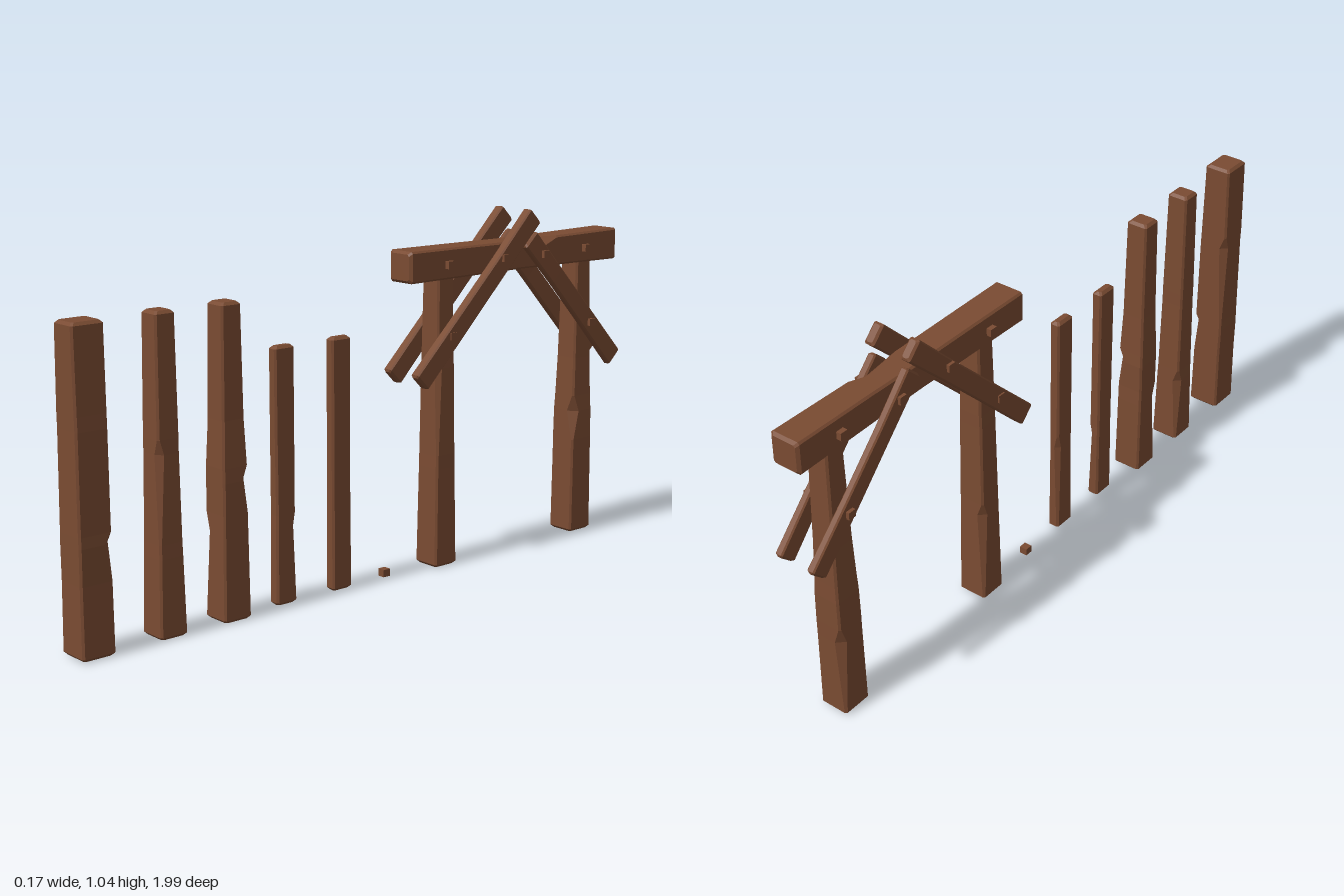
import * as THREE from 'three';

const wood = new THREE.MeshStandardMaterial({ color: 0x7a4b32, flatShading: true });
const CORNERS = [[1, -1], [-1, -1], [-1, 1], [1, 1]];

// Hewn timber standing along +y from chamfered square sections.
// Each section: [y, halfX, halfZ, shiftX, shiftZ, chippedCorner, chipSize]
function timber(name, sections, bevel = 0.008) {
  const first = sections[0], last = sections[sections.length - 1];
  const inset = (s, dy) => [s[0] + dy, s[1] - bevel, s[2] - bevel, s[3], s[4]];
  const rings = [
    inset(first, 0),
    [first[0] + bevel, ...first.slice(1)],
    ...sections.slice(1, -1),
    [last[0] - bevel, ...last.slice(1)],
    inset(last, 0),
  ];
  const pos = [], index = [];
  for (const [y, w, d, dx = 0, dz = 0, chip = -1, size = 0] of rings) {
    CORNERS.forEach(([sx, sz], k) => {
      const c = k === chip ? size : bevel * 0.7;
      const onX = [dx + sx * w, y, dz + sz * (d - c)];
      const onZ = [dx + sx * (w - c), y, dz + sz * d];
      pos.push(...(k % 2 ? [...onZ, ...onX] : [...onX, ...onZ]));
    });
  }
  for (let r = 0; r < rings.length - 1; r++) {
    for (let j = 0; j < 8; j++) {
      const a = r * 8 + j, b = r * 8 + (j + 1) % 8;
      index.push(a, b, b + 8, a, b + 8, a + 8);
    }
  }
  const top = (rings.length - 1) * 8;
  for (let j = 1; j < 7; j++) {
    index.push(0, j + 1, j, top, top + j, top + j + 1);
  }
  const geo = new THREE.BufferGeometry();
  geo.setAttribute('position', new THREE.Float32BufferAttribute(pos, 3));
  geo.setIndex(index);
  const flat = geo.toNonIndexed();
  flat.computeVertexNormals();
  const mesh = new THREE.Mesh(flat, wood);
  mesh.name = name;
  return mesh;
}

// Lay a timber from one (y, z) point towards another
function lay(mesh, x, [y0, z0], [y1, z1]) {
  mesh.position.set(x, y0, z0);
  mesh.rotation.x = Math.atan2(z1 - z0, y1 - y0);
  return mesh;
}

function peg(name, x, y, z, length) {
  const mesh = new THREE.Mesh(new THREE.BoxGeometry(length, 0.022, 0.024), wood);
  mesh.name = name;
  mesh.position.set(x, y, z);
  return mesh;
}

export function createModel() {
  const model = new THREE.Group();
  model.name = 'timberKit';

  // Loose posts and planks in a row: name, z, sections
  const loose = [
    ['thickPost', 0.95, [
      [0, 0.05, 0.05], [0.2, 0.048, 0.049], [0.3, 0.049, 0.049, 0, 0, 0, 0.024],
      [0.33, 0.048, 0.049], [0.6, 0.046, 0.048, 0.001, 0, 1, 0.02],
      [0.64, 0.046, 0.048], [0.876, 0.042, 0.048]]],
    ['taperedPost', 0.713, [
      [0, 0.044, 0.043], [0.22, 0.041, 0.038, 0, 0, 1, 0.02], [0.26, 0.04, 0.037],
      [0.5, 0.037, 0.034, 0, 0, 3, 0.018], [0.54, 0.037, 0.034],
      [0.876, 0.033, 0.031]]],
    ['bulgedPost', 0.503, [
      [0, 0.045, 0.045], [0.25, 0.043, 0.042, 0, 0, 2, 0.02], [0.3, 0.043, 0.041],
      [0.39, 0.043, 0.042, 0, -0.001, 0, 0.026], [0.43, 0.042, 0.041],
      [0.56, 0.037, 0.036], [0.876, 0.034, 0.032]]],
    ['wideSlat', 0.312, [
      [0, 0.018, 0.035], [0.22, 0.017, 0.034, 0, 0, 0, 0.015], [0.26, 0.017, 0.033],
      [0.5, 0.016, 0.034], [0.735, 0.016, 0.034]]],
    ['narrowSlat', 0.11, [
      [0, 0.018, 0.035], [0.3, 0.016, 0.034, 0, 0, 1, 0.014], [0.34, 0.016, 0.034],
      [0.735, 0.016, 0.034]]],
  ];
  for (const [name, z, sections] of loose) {
    const post = timber(name, sections);
    post.position.z = z;
    model.add(post);
  }
  model.add(peg('loosePeg', -0.005, 0.01, -0.067, 0.024));

  // Gate frame
  const frame = new THREE.Group();
  frame.name = 'gateFrame';
  model.add(frame);

  const frontPost = timber('frontFramePost', [
    [0, 0.045, 0.043], [0.3, 0.042, 0.038, 0, 0, 1, 0.02], [0.34, 0.042, 0.037],
    [0.6, 0.039, 0.034, 0, 0, 3, 0.015], [0.64, 0.038, 0.034], [0.88, 0.034, 0.031]]);
  frontPost.position.z = -0.27;
  const backPost = timber('backFramePost', [
    [0, 0.045, 0.046], [0.25, 0.044, 0.044, 0, 0, 1, 0.022], [0.3, 0.044, 0.044],
    [0.39, 0.043, 0.043, 0, 0, 3, 0.026], [0.44, 0.041, 0.041],
    [0.56, 0.038, 0.037], [0.88, 0.034, 0.031]]);
  backPost.position.z = -0.855;
  frame.add(frontPost, backPost);

  // Top beam
  const beam = timber('topBeam', [
    [0, 0.046, 0.046], [0.2, 0.045, 0.045], [0.42, 0.044, 0.043],
    [0.55, 0.044, 0.044, 0, 0, 3, 0.025], [0.6, 0.044, 0.045], [0.87, 0.046, 0.048]]);
  frame.add(lay(beam, 0, [0.907, -0.12], [0.907, -0.99]));

  // Paired diagonal braces and pegs on both faces
  const braces = [
    ['frontBrace', [0.575, -0.143], [1.025, -0.598], 0.016, 0.059],
    ['backBrace', [0.547, -0.975], [0.955, -0.588], 0.012, 0.054],
  ];
  const pegs = [
    [0.905, -0.267, 0.06], [0.91, -0.467, 0.085], [0.905, -0.645, 0.076],
    [0.905, -0.845, 0.06], [0.7, -0.262, 0.08], [0.675, -0.855, 0.077],
  ];
  for (const side of [1, -1]) {
    const label = side > 0 ? 'left' : 'right';
    for (const [name, a, b, half, x] of braces) {
      const len = Math.hypot(b[0] - a[0], b[1] - a[1]);
      const brace = timber(`${label}_${name}`, [
        [0, half, 0.031], [len * 0.35, half * 0.92, 0.03, side * 0.002],
        [len * 0.7, half * 0.95, 0.029, side * 0.002], [len, half, 0.031]], 0.006);
      frame.add(lay(brace, side * x, a, b));
    }
    for (const [y, z, reach] of pegs) {
      frame.add(peg(`${label}_peg`, side * (reach - 0.02), y, z, 0.04));
    }
  }
  return model;
}
